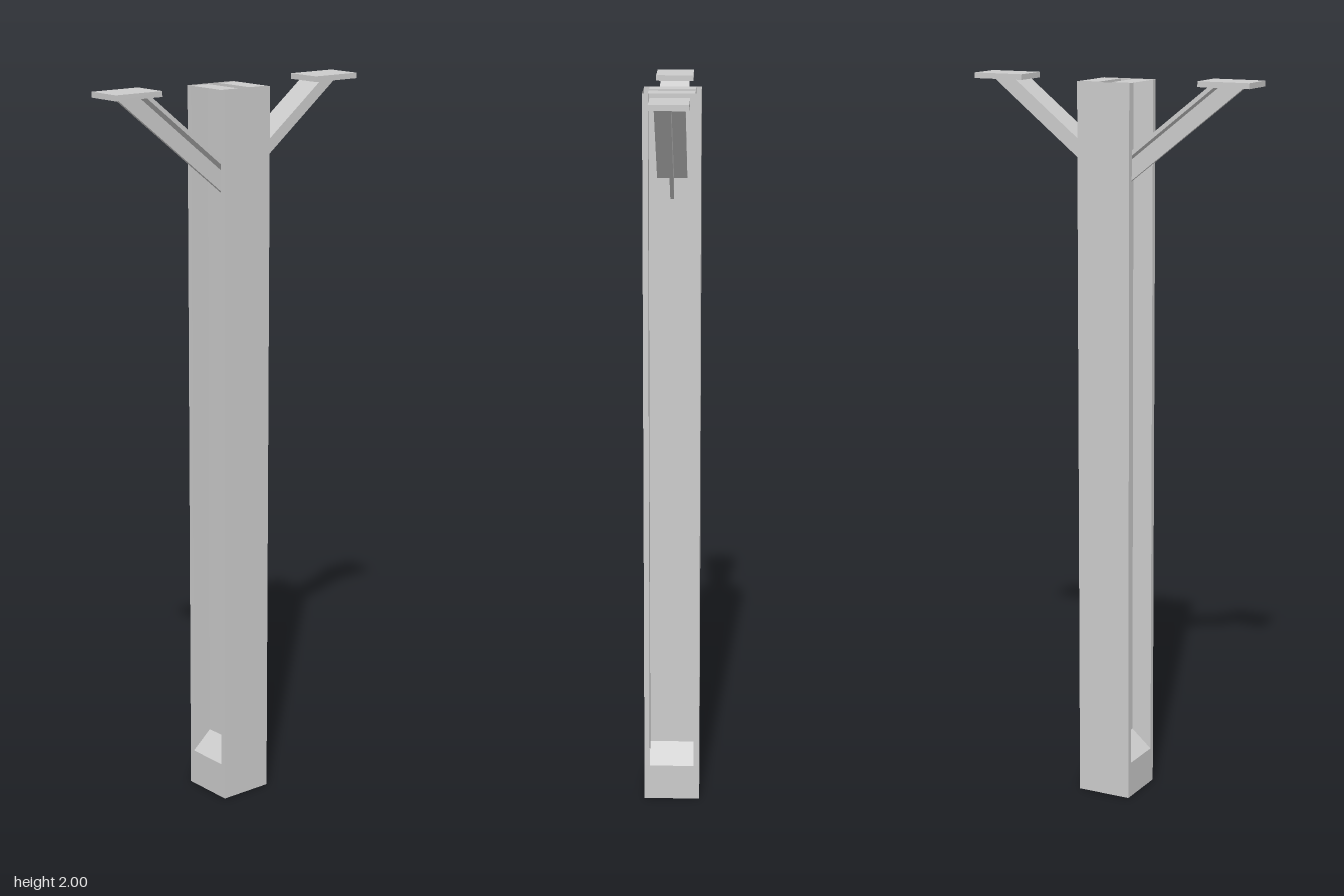
import * as THREE from 'three';

const material = new THREE.MeshStandardMaterial({ color: 0xcccccc, flatShading: true, side: THREE.DoubleSide });

const H = 1.99;      // post height
const R = 0.077;     // post half width
const SLOT = 0.062;  // half width of the side recess
const CORE = 0.019;  // recess back wall, distance from centre
const FLOOR = 0.1;   // outer edge of the recess floor
const SILL = 0.15;   // inner edge of the recess floor

function add(group, geometry, name) {
  const mesh = new THREE.Mesh(geometry, material);
  mesh.name = name;
  group.add(mesh);
  return mesh;
}

// Thin sheet from four corners
function sheet(group, name, a, b, c, d) {
  const g = new THREE.BufferGeometry();
  g.setAttribute('position', new THREE.Float32BufferAttribute([...a, ...b, ...c, ...a, ...c, ...d], 3));
  g.computeVertexNormals();
  return add(group, g, name);
}

// Solid bar: side profile in x and y, given depth centred on z = 0
function bar(group, name, points, depth) {
  const shape = new THREE.Shape(points.map(([x, y]) => new THREE.Vector2(x, y)));
  const g = new THREE.ExtrudeGeometry(shape, { depth, bevelEnabled: false });
  g.translate(0, 0, -depth / 2);
  return add(group, g, name);
}

// One half of the hollow post: recessed side with sloped floor and flat cap
function postSide() {
  const g = new THREE.Group();
  sheet(g, 'baseFace', [R, 0, R], [R, 0, -R], [R, FLOOR, -R], [R, FLOOR, R]);
  for (const s of [1, -1]) {
    const rim = [[R, FLOOR, s * R], [R, FLOOR, s * SLOT], [R, H, s * SLOT], [R, H, s * R]];
    const cheek = [[R, FLOOR, s * SLOT], [CORE, SILL, s * SLOT], [CORE, H, s * SLOT], [R, H, s * SLOT]];
    if (s < 0) { rim.reverse(); cheek.reverse(); }
    sheet(g, 'recessRim', ...rim);
    sheet(g, 'recessCheek', ...cheek);
  }
  sheet(g, 'recessBack', [CORE, SILL, SLOT], [CORE, SILL, -SLOT], [CORE, H, -SLOT], [CORE, H, SLOT]);
  sheet(g, 'recessFloor', [R, FLOOR, SLOT], [R, FLOOR, -SLOT], [CORE, SILL, -SLOT], [CORE, SILL, SLOT]);
  sheet(g, 'recessCap', [CORE, H, SLOT], [R, H, SLOT], [R, H, -SLOT], [CORE, H, -SLOT]);
  return g;
}

// T-section bracket arm carrying an inverted tray
function arm() {
  const g = new THREE.Group();
  const slope = 0.79, y0 = 1.76, top = 1.99;
  const xAt = (drop) => (top - y0 + drop) / slope;
  bar(g, 'armFlange', [[0, y0 - 0.014], [xAt(0.014), top], [xAt(0), top], [0, y0]], 0.08);
  bar(g, 'armWeb', [[0, y0 - 0.07], [xAt(0.07), top], [xAt(0.01), top], [0, y0 - 0.01]], 0.01);

  const x0 = 0.26, x1 = 0.407, z = 0.051, lo = 1.985, hi = 2;
  sheet(g, 'trayTop', [x0, hi, z], [x1, hi, z], [x1, hi, -z], [x0, hi, -z]);
  const corners = [[x0, z], [x1, z], [x1, -z], [x0, -z]];
  corners.forEach(([ax, az], i) => {
    const [bx, bz] = corners[(i + 1) % 4];
    sheet(g, 'trayRim', [ax, lo, az], [bx, lo, bz], [bx, hi, bz], [ax, hi, az]);
  });
  return g;
}

export function createModel() {
  const model = new THREE.Group();
  model.name = 'bracketPost';

  // Plain front and back walls
  sheet(model, 'frontWall', [-R, 0, R], [R, 0, R], [R, H, R], [-R, H, R]);
  sheet(model, 'backWall', [R, 0, -R], [-R, 0, -R], [-R, H, -R], [R, H, -R]);

  // Recessed sides and arms, repeated by a half turn
  [['left', 0], ['right', Math.PI]].forEach(([side, turn]) => {
    const post = postSide();
    post.name = side + 'PostSide';
    const bracket = arm();
    bracket.name = side + 'Arm';
    post.rotation.y = bracket.rotation.y = turn;
    model.add(post, bracket);
  });
  return model;
}
